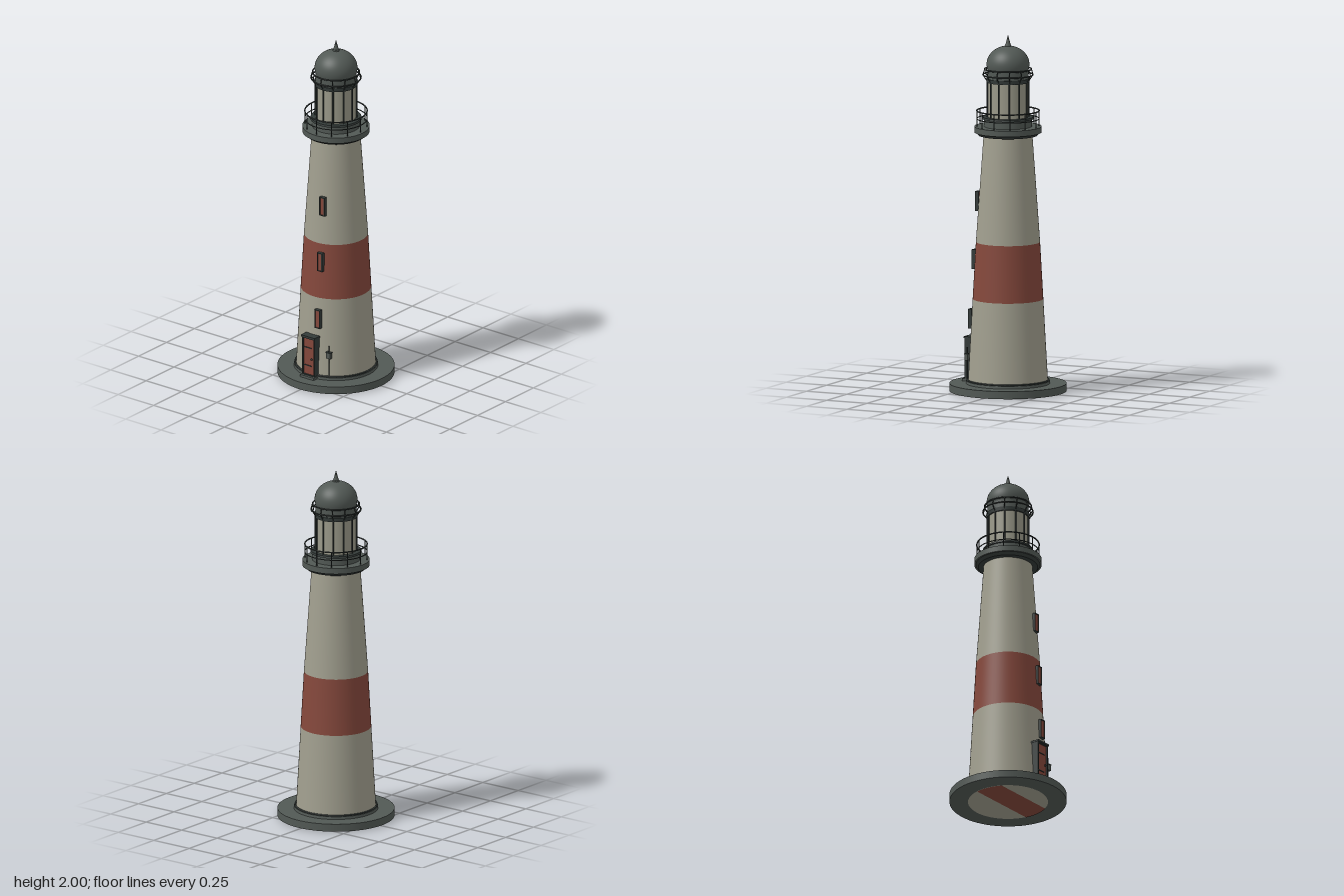
import * as THREE from 'three';

const mat = (name, color, side = THREE.FrontSide) => {
  const m = new THREE.MeshStandardMaterial({ color, side });
  m.name = name;
  return m;
};

export function createModel() {
  const model = new THREE.Group();
  model.name = 'lighthouse';
  const cream = mat('cream plaster', 0xa19f8f);
  const red = mat('brick red paint', 0x85483c);
  const slate = mat('slate grey', 0x525955);
  const iron = mat('dark iron', 0x343b39);
  const glass = mat('lantern glass', 0x9b9a8a);

  const add = (name, geo, material, x = 0, y = 0, z = 0, parent = model) => {
    const mesh = new THREE.Mesh(geo, material);
    mesh.name = name;
    mesh.position.set(x, y, z);
    parent.add(mesh);
    return mesh;
  };
  // Upright round section between two heights
  const drum = (name, material, r0, r1, y0, y1, sides = 64, open = false) =>
    add(name, new THREE.CylinderGeometry(r1, r0, y1 - y0, sides, 1, open), material, 0, (y0 + y1) / 2, 0);
  const ring = (name, material, r, tube, y) => {
    const geo = new THREE.TorusGeometry(r, tube, 8, 64);
    geo.rotateX(Math.PI / 2);
    return add(name, geo, material, 0, y, 0);
  };
  const box = (name, material, w, h, d, x, y, z, parent) =>
    add(name, new THREE.BoxGeometry(w, h, d), material, x, y, z, parent);
  // Thin bar from one point to another
  const bar = (name, a, b, r, parent) => {
    const mesh = add(name, new THREE.CylinderGeometry(r, r, a.distanceTo(b), 6), iron, 0, 0, 0, parent);
    mesh.position.copy(a).lerp(b, 0.5);
    mesh.quaternion.setFromUnitVectors(new THREE.Vector3(0, 1, 0), b.clone().sub(a).normalize());
  };
  const polar = (r, y, a) => new THREE.Vector3(Math.sin(a) * r, y, Math.cos(a) * r);

  // Round plinth and its painted underside
  drum('plinth', slate, 0.325, 0.325, 0.004, 0.047, 72);
  add('undersideDisc', new THREE.CircleGeometry(0.222, 64).rotateX(Math.PI / 2), cream, 0, 0.002, 0);
  const stripe = new THREE.Shape();
  const R = 0.222, a0 = Math.asin(-0.045 / R), a1 = Math.asin(0.11 / R);
  stripe.absarc(0, 0, R, a0, a1, false);
  stripe.absarc(0, 0, R, Math.PI - a1, Math.PI - a0, false);
  add('undersideStripe', new THREE.ShapeGeometry(stripe).rotateX(Math.PI / 2), red);

  // Tapering tower with a painted band
  drum('footing', slate, 0.234, 0.232, 0.047, 0.062);
  ring('footingMoulding', iron, 0.226, 0.005, 0.066);
  drum('towerLower', cream, 0.222, 0.196, 0.05, 0.52, 64, true);
  drum('towerBand', red, 0.196, 0.178, 0.52, 0.84, 64, true);
  drum('towerUpper', cream, 0.178, 0.135, 0.84, 1.445, 64, true);

  // Gallery deck and railing
  drum('galleryCorbel', iron, 0.165, 0.178, 1.438, 1.454);
  drum('galleryDeck', slate, 0.187, 0.187, 1.454, 1.487);
  const railing = new THREE.Group();
  railing.name = 'galleryRailing';
  model.add(railing);
  for (let i = 0; i < 12; i++) {
    const a = (i / 12) * Math.PI * 2;
    bar('railingPost', polar(0.173, 1.485, a), polar(0.173, 1.575, a), 0.003, railing);
  }
  ring('railingTop', iron, 0.173, 0.004, 1.575);
  ring('railingMiddle', iron, 0.173, 0.003, 1.53);

  // Lantern room
  drum('lanternBase', slate, 0.132, 0.132, 1.487, 1.53);
  drum('lanternSill', iron, 0.143, 0.14, 1.53, 1.541);
  drum('lanternGlass', glass, 0.111, 0.111, 1.541, 1.745, 48, true);
  const bars = new THREE.Group();
  bars.name = 'lanternBars';
  model.add(bars);
  for (let i = 0; i < 12; i++) {
    const a = (i / 12) * Math.PI * 2;
    bar('glazingBar', polar(0.115, 1.541, a), polar(0.115, 1.745, a), 0.0045, bars);
    // Cranked brackets carrying the upper hand rails
    bar('bracketLower', polar(0.117, 1.742, a), polar(0.139, 1.776, a), 0.003, bars);
    bar('bracketUpper', polar(0.139, 1.776, a), polar(0.13, 1.808, a), 0.003, bars);
  }
  drum('lanternCornice', iron, 0.119, 0.121, 1.735, 1.757);
  drum('roofCollar', slate, 0.115, 0.115, 1.757, 1.802);
  ring('upperRailLower', iron, 0.139, 0.004, 1.776);
  ring('upperRailUpper', iron, 0.13, 0.004, 1.808);

  // Dome and spire
  const dome = [new THREE.Vector2(0.113, 1.797)];
  for (let i = 0; i <= 16; i++) {
    const t = -0.3 + (i / 16) * (Math.PI / 2 + 0.3);
    dome.push(new THREE.Vector2(Math.max(Math.cos(t) * 0.119, 0.0001), 1.834 + Math.sin(t) * 0.104));
  }
  add('dome', new THREE.LatheGeometry(dome, 64), slate);
  drum('spireFoot', slate, 0.021, 0.018, 1.93, 1.944, 8);
  add('spire', new THREE.ConeGeometry(0.016, 0.058, 8), slate, 0, 1.971, 0);

  // Framed opening: two posts, lintel, sill and a recessed panel
  const framed = (name, x, y, z, w, h, d, t) => {
    const g = new THREE.Group();
    g.name = name;
    g.position.set(x, y, z);
    model.add(g);
    for (const s of [-1, 1]) {
      box('framePost', iron, t, h, d, s * (w - t) / 2, 0, 0, g);
      box('frameRail', iron, w, t, d, 0, s * (h - t) / 2, 0, g);
    }
    box('panel', red, w - 2 * t, h - 2 * t, d * 0.8, 0, 0, -d * 0.05, g);
    return g;
  };

  // Windows climbing the front
  [[0.4, 0.208], [0.735, 0.186], [1.063, 0.165]].forEach(([y, z]) =>
    framed('window', 0.038, y, z, 0.036, 0.11, 0.022, 0.005));

  // Front door with threshold, straps and knob
  const door = framed('door', 0, 0.174, 0.226, 0.09, 0.232, 0.044, 0.009);
  box('lintel', iron, 0.096, 0.01, 0.05, 0, 0.118, 0.002, door);
  for (const y of [0.052, -0.055]) box('strap', iron, 0.05, 0.005, 0.004, -0.008, y, 0.018, door);
  add('knob', new THREE.SphereGeometry(0.006, 12, 8), iron, 0.022, -0.012, 0.021, door);
  box('threshold', slate, 0.095, 0.014, 0.046, 0, 0.054, 0.239);

  // Slim lamp post beside the door
  const lamp = new THREE.Group();
  lamp.name = 'lampPost';
  lamp.position.set(0.107, 0, 0.199);
  model.add(lamp);
  bar('pole', new THREE.Vector3(0, 0.047, 0), new THREE.Vector3(0, 0.25, 0), 0.0035, lamp);
  box('lampBox', slate, 0.028, 0.034, 0.018, 0, 0.193, 0, lamp);
  box('lampCap', iron, 0.032, 0.005, 0.022, 0, 0.211, 0, lamp);

  return model;
}
